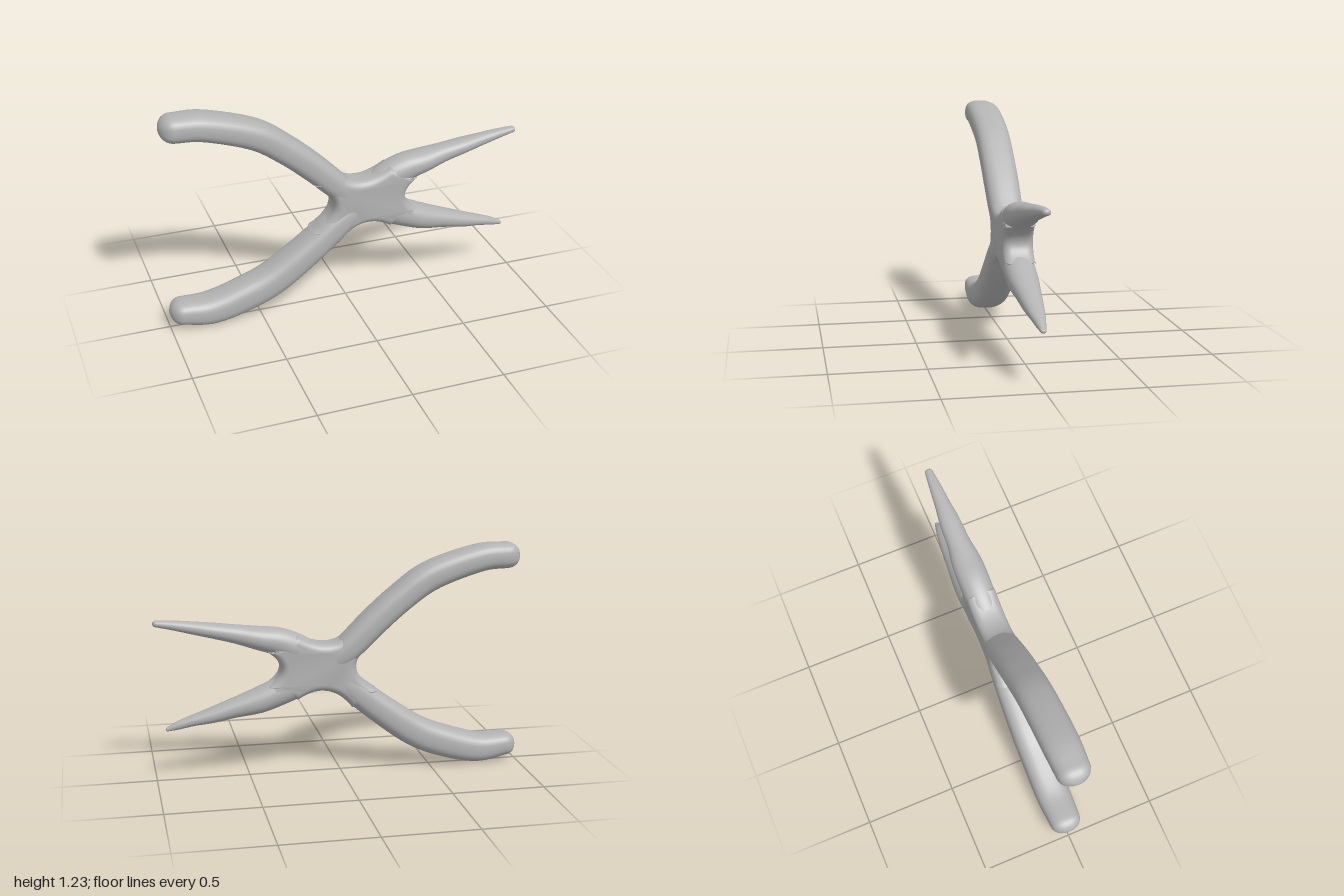
import * as THREE from 'three';
import { toCreasedNormals } from 'three/addons/utils/BufferGeometryUtils.js';

const SIDES = 32, STEPS = 40, CAP = 7;

// Stations are [x, y, half width in the xy plane, half depth in z].
// Sweeps a soft-cornered oval along the stations and rounds both ends.
function limbGeometry(stations, z0, power) {
  const path = new THREE.CatmullRomCurve3(
    stations.map(s => new THREE.Vector3(s[0], s[1], z0)), false, 'catmullrom', 0.5);
  const size = new THREE.CatmullRomCurve3(
    stations.map(s => new THREE.Vector3(s[2], s[3], 0)), false, 'catmullrom', 0.5);

  const rings = [];
  const addRing = (u, shift, scale) => {
    const t = path.getTangent(u), s = size.getPoint(u);
    const c = path.getPoint(u).addScaledVector(t, shift * s.x);
    rings.push({ t, c, w: s.x * scale, d: s.y * scale });
  };
  for (let k = CAP; k > 0; k--) {
    const a = (k / CAP) * Math.PI / 2;
    addRing(0, -Math.sin(a), Math.cos(a));
  }
  for (let i = 0; i <= STEPS; i++) addRing(i / STEPS, 0, 1);
  for (let k = 1; k <= CAP; k++) {
    const a = (k / CAP) * Math.PI / 2;
    addRing(1, Math.sin(a), Math.cos(a));
  }

  const soft = v => Math.sign(v) * Math.pow(Math.abs(v), 2 / power);
  const positions = [], index = [];
  rings.forEach(({ t, c, w, d }, i) => {
    for (let j = 0; j < SIDES; j++) {
      const a = (j / SIDES) * Math.PI * 2;
      const n = soft(Math.cos(a)) * w;
      positions.push(c.x - t.y * n, c.y + t.x * n, c.z + soft(Math.sin(a)) * d);
      if (i < rings.length - 1) {
        const j2 = (j + 1) % SIDES, p = i * SIDES, q = p + SIDES;
        index.push(p + j, p + j2, q + j, p + j2, q + j2, q + j);
      }
    }
  });
  const geometry = new THREE.BufferGeometry();
  geometry.setAttribute('position', new THREE.Float32BufferAttribute(positions, 3));
  geometry.setIndex(index);
  geometry.computeVertexNormals();
  return geometry;
}

// Pivot block: a plate whose four hollow sides blend the limbs together
function hubGeometry() {
  const s = new THREE.Shape();
  s.moveTo(-0.08, 0.82);
  s.quadraticCurveTo(0.04, 0.66, 0.24, 0.785);
  s.lineTo(0.40, 0.70);
  s.quadraticCurveTo(0.255, 0.60, 0.40, 0.51);
  s.lineTo(0.24, 0.43);
  s.quadraticCurveTo(0.07, 0.54, -0.06, 0.37);
  s.lineTo(-0.20, 0.46);
  s.quadraticCurveTo(0.04, 0.60, -0.20, 0.75);
  s.closePath();
  const bevel = 0.045, half = 0.082;
  const g = new THREE.ExtrudeGeometry(s, {
    depth: 2 * (half - bevel), curveSegments: 16,
    bevelEnabled: true, bevelThickness: bevel, bevelSize: 0.04, bevelOffset: -0.04, bevelSegments: 6,
  });
  g.translate(0, 0, bevel - half);
  return toCreasedNormals(g, 0.7);
}

export function createModel() {
  const group = new THREE.Group();
  const grey = new THREE.MeshStandardMaterial({ color: 0xb3b3b3 });
  grey.name = 'plain grey';
  const add = (name, geometry) => {
    const mesh = new THREE.Mesh(geometry, grey);
    mesh.name = name;
    group.add(mesh);
  };

  add('pivotHub', hubGeometry());

  // Thick curved handles
  add('upperHandle', limbGeometry([
    [-0.92, 1.172, 0.070, 0.088], [-0.76, 1.160, 0.073, 0.095], [-0.50, 1.075, 0.077, 0.095],
    [-0.33, 0.960, 0.075, 0.095], [-0.18, 0.830, 0.074, 0.094], [-0.03, 0.685, 0.070, 0.088],
    [0.08, 0.610, 0.055, 0.070],
  ], -0.004, 2.7));
  add('lowerHandle', limbGeometry([
    [-0.935, 0.100, 0.064, 0.086], [-0.77, 0.088, 0.079, 0.095], [-0.58, 0.137, 0.086, 0.095],
    [-0.41, 0.210, 0.085, 0.095], [-0.20, 0.360, 0.079, 0.094], [-0.03, 0.500, 0.072, 0.088],
    [0.08, 0.590, 0.055, 0.070],
  ], 0.004, 2.7));

  // Tapering, slightly uneven jaws
  add('upperJaw', limbGeometry([
    [0.12, 0.640, 0.060, 0.070], [0.22, 0.695, 0.078, 0.080], [0.33, 0.745, 0.075, 0.084],
    [0.45, 0.773, 0.062, 0.081], [0.56, 0.798, 0.050, 0.064], [0.68, 0.822, 0.041, 0.057],
    [0.78, 0.840, 0.034, 0.044], [0.88, 0.858, 0.026, 0.034], [0.98, 0.872, 0.017, 0.022],
  ], -0.002, 2.2));
  add('lowerJaw', limbGeometry([
    [0.12, 0.560, 0.060, 0.070], [0.22, 0.520, 0.076, 0.080], [0.33, 0.472, 0.074, 0.083],
    [0.45, 0.426, 0.068, 0.080], [0.58, 0.392, 0.052, 0.066], [0.70, 0.358, 0.041, 0.053],
    [0.80, 0.335, 0.029, 0.040], [0.88, 0.312, 0.022, 0.026], [0.935, 0.294, 0.011, 0.014],
  ], 0, 2.2));

  return group;
}
